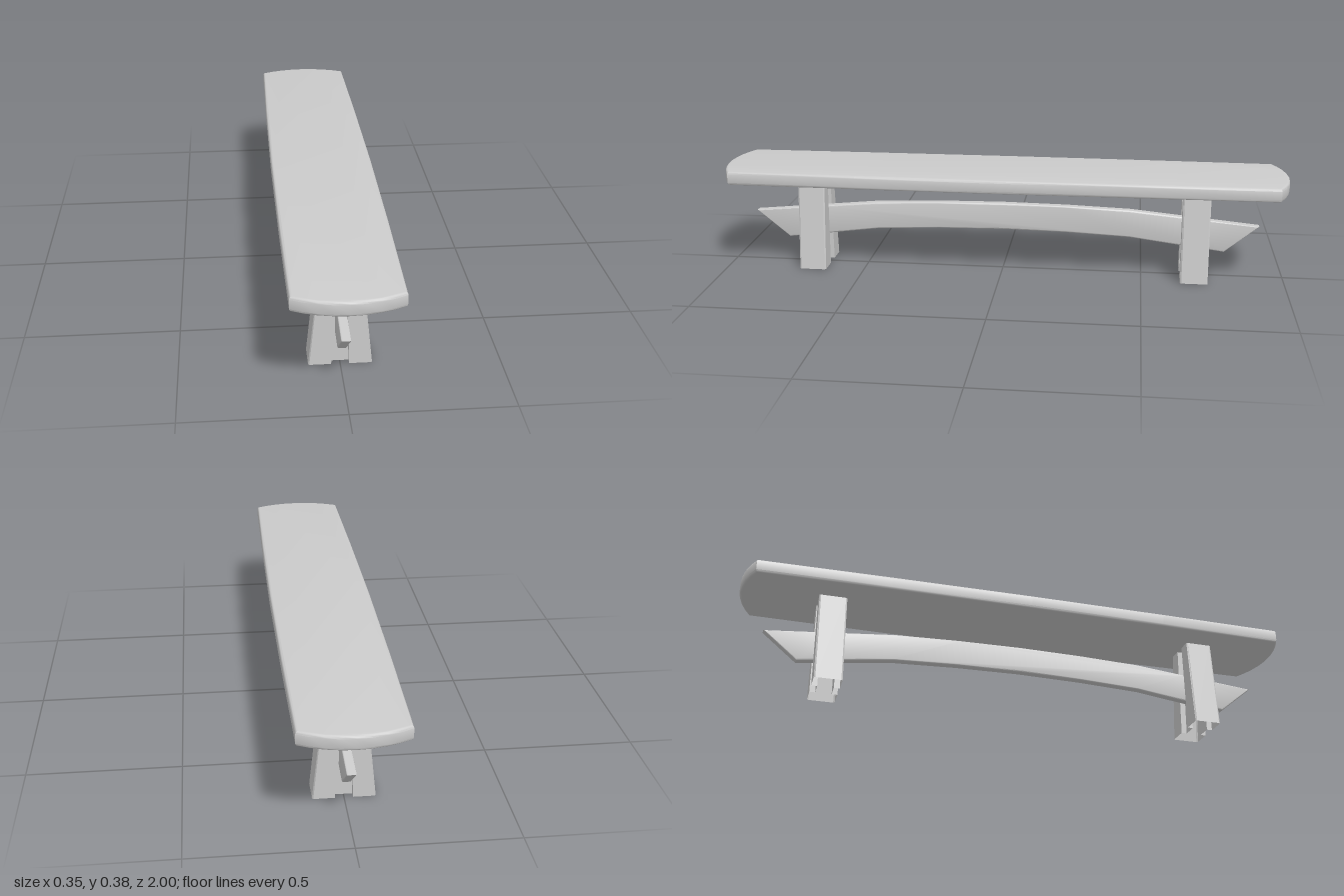
import * as THREE from 'three';
import { toCreasedNormals } from 'three/addons/utils/BufferGeometryUtils.js';

const grey = new THREE.MeshStandardMaterial({ color: 0xcccccc });
const greyOpen = new THREE.MeshStandardMaterial({ color: 0xcccccc, side: THREE.DoubleSide });

// Extrude an outline to a total thickness with small rounded edges, centred in depth
function board(points, thickness, bevel) {
  const shape = new THREE.Shape(points.map(([x, y]) => new THREE.Vector2(x, y)));
  const g = new THREE.ExtrudeGeometry(shape, {
    depth: thickness - 2 * bevel, bevelThickness: bevel, bevelSize: bevel,
    bevelOffset: -bevel, bevelSegments: 3,
  });
  g.translate(0, 0, -thickness / 2 + bevel);
  return toCreasedNormals(g, 0.6);
}

// H-shaped post with an open foot, narrowing in x towards the top
function legGeometry(height, topScale) {
  const quarter = [[0.1, 0.043], [0.096, 0.048], [0.028, 0.048], [0.028, 0.028]];
  const half = [...quarter, ...quarter.map(([x, z]) => [-x, z]).reverse()];
  const ring = [...half, ...half.map(([x, z]) => [-x, -z])];
  const pos = [];
  ring.forEach(([ax, az], i) => {
    const [bx, bz] = ring[(i + 1) % ring.length];
    const a = [ax, 0, az], b = [bx, 0, bz];
    const A = [ax * topScale, height, az], B = [bx * topScale, height, bz];
    pos.push(...a, ...A, ...b, ...b, ...A, ...B);
  });
  const g = new THREE.BufferGeometry();
  g.setAttribute('position', new THREE.Float32BufferAttribute(pos, 3));
  g.computeVertexNormals();
  return g;
}

export function createModel() {
  const group = new THREE.Group();
  const add = (name, geometry, material) => {
    const mesh = new THREE.Mesh(geometry, material);
    mesh.name = name;
    group.add(mesh);
    return mesh;
  };

  // Seat: long plank with bowed sides and curved ends
  const side = [[0.168, -0.957], [0.174, -0.5], [0.177, 0], [0.174, 0.5], [0.168, 0.957]];
  const end = [[0.13, 0.975], [0.09, 0.988], [0.045, 0.997], [0, 1], [-0.045, 0.997], [-0.09, 0.988], [-0.13, 0.975]];
  const right = [...side, ...end];
  const seat = board([...right, ...right.map(([x, y]) => [-x, -y])], 0.048, 0.009);
  seat.rotateX(-Math.PI / 2);
  add('seat', seat, grey).position.y = 0.351;

  // Legs: one near each end
  const leg = legGeometry(0.335, 0.655);
  add('frontLeg', leg, greyOpen).position.z = 0.685;
  add('backLeg', leg, greyOpen).position.z = -0.685;

  // Stretcher: arched rail through both legs with slanted pointed ends
  const under = [[0, 0.15], [0.23, 0.146], [0.455, 0.136], [0.63, 0.113], [0.79, 0.093]];
  const over = [[0.908, 0.191], [0.63, 0.218], [0.455, 0.235], [0.23, 0.243]];
  const mirror = (list) => list.map(([x, y]) => [-x, y]).reverse();
  const outline = [...under, ...over, [0, 0.246], ...mirror(over), ...mirror(under.slice(1))];
  const rail = board(outline, 0.03, 0.005);
  rail.rotateY(-Math.PI / 2);
  add('stretcher', rail, grey);

  return group;
}
